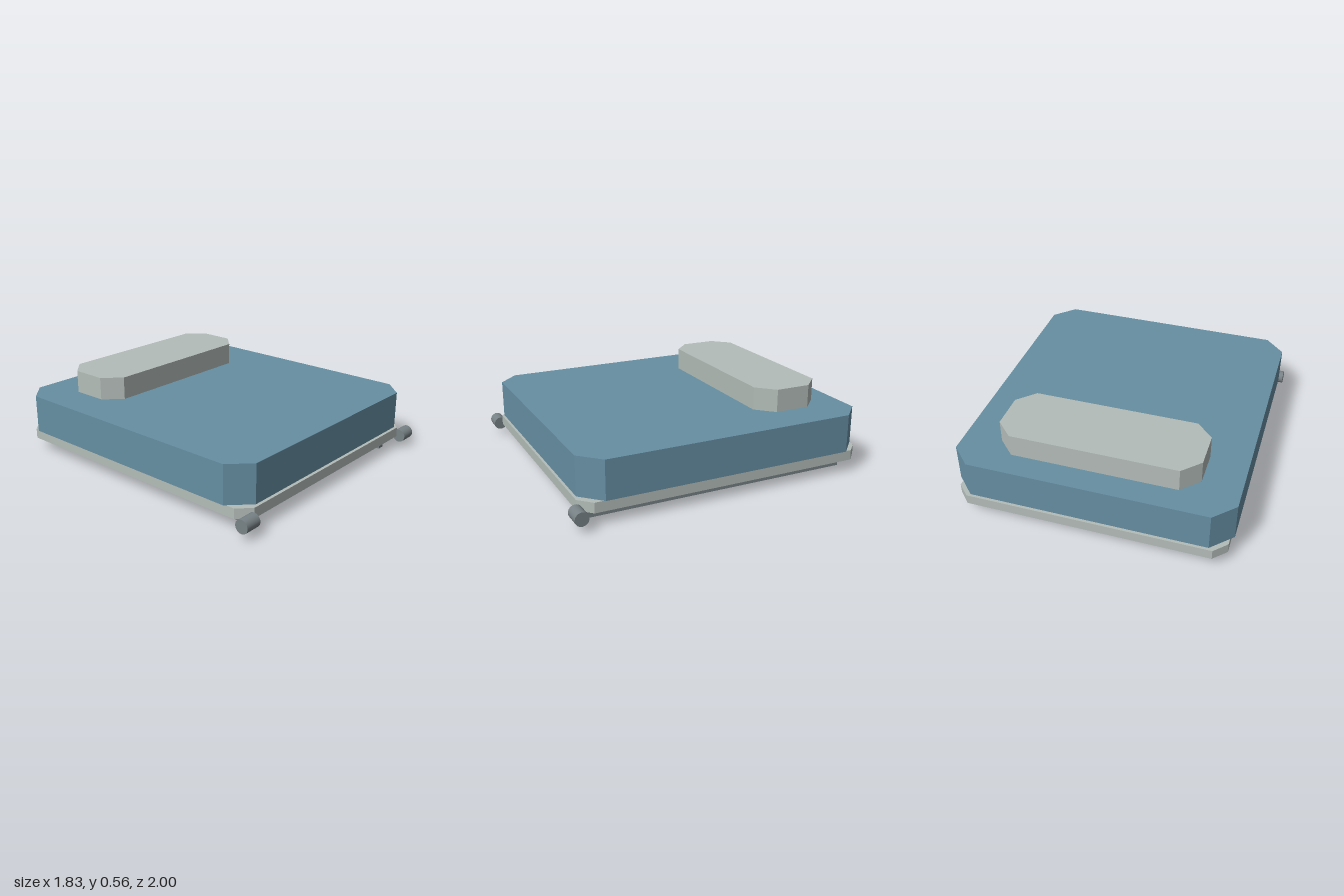
import * as THREE from 'three';

const fabric = new THREE.MeshStandardMaterial({ color: 0x668fa3 });
fabric.name = 'blue fabric';
const pale = new THREE.MeshStandardMaterial({ color: 0xb4bdb9 });
pale.name = 'pale grey';
const metal = new THREE.MeshStandardMaterial({ color: 0x788286 });
metal.name = 'dark grey metal';

// Horizontal slab with cut corners, spanning x = ±w, z0..z1 and y0..y1
function chamferedSlab(name, material, w, z0, z1, y0, y1, cut) {
  const outline = [
    [-w + cut, z0], [w - cut, z0], [w, z0 + cut], [w, z1 - cut],
    [w - cut, z1], [-w + cut, z1], [-w, z1 - cut], [-w, z0 + cut],
  ];
  // The shape's y runs along -z, so it lies flat after the rotation
  const shape = new THREE.Shape(outline.map(([x, z]) => new THREE.Vector2(x, -z)));
  const geometry = new THREE.ExtrudeGeometry(shape, { depth: y1 - y0, bevelEnabled: false });
  geometry.rotateX(-Math.PI / 2).translate(0, y0, 0);
  const mesh = new THREE.Mesh(geometry, material);
  mesh.name = name;
  return mesh;
}

export function createModel() {
  const model = new THREE.Group();
  model.name = 'bed';

  model.add(
    chamferedSlab('baseFrame', pale, 0.87, -1, 0.945, 0.085, 0.151, 0.08),
    chamferedSlab('mattress', fabric, 0.895, -0.99, 0.935, 0.16, 0.41, 0.13),
    chamferedSlab('pillow', pale, 0.646, -0.826, -0.371, 0.41, 0.56, 0.11),
  );

  for (const [side, s] of [['left', 1], ['right', -1]]) {
    // Floor runner under the frame
    const runner = new THREE.Mesh(new THREE.BoxGeometry(0.05, 0.066, 1.784), metal);
    runner.name = side + 'Runner';
    runner.position.set(s * 0.722, 0.033, -0.024);

    // Roller at the front corner
    const roller = new THREE.Mesh(
      new THREE.CylinderGeometry(0.044, 0.044, 0.112, 24).rotateZ(Math.PI / 2), metal);
    roller.name = side + 'Roller';
    roller.position.set(s * 0.86, 0.088, 0.956);

    model.add(runner, roller);
  }
  return model;
}
